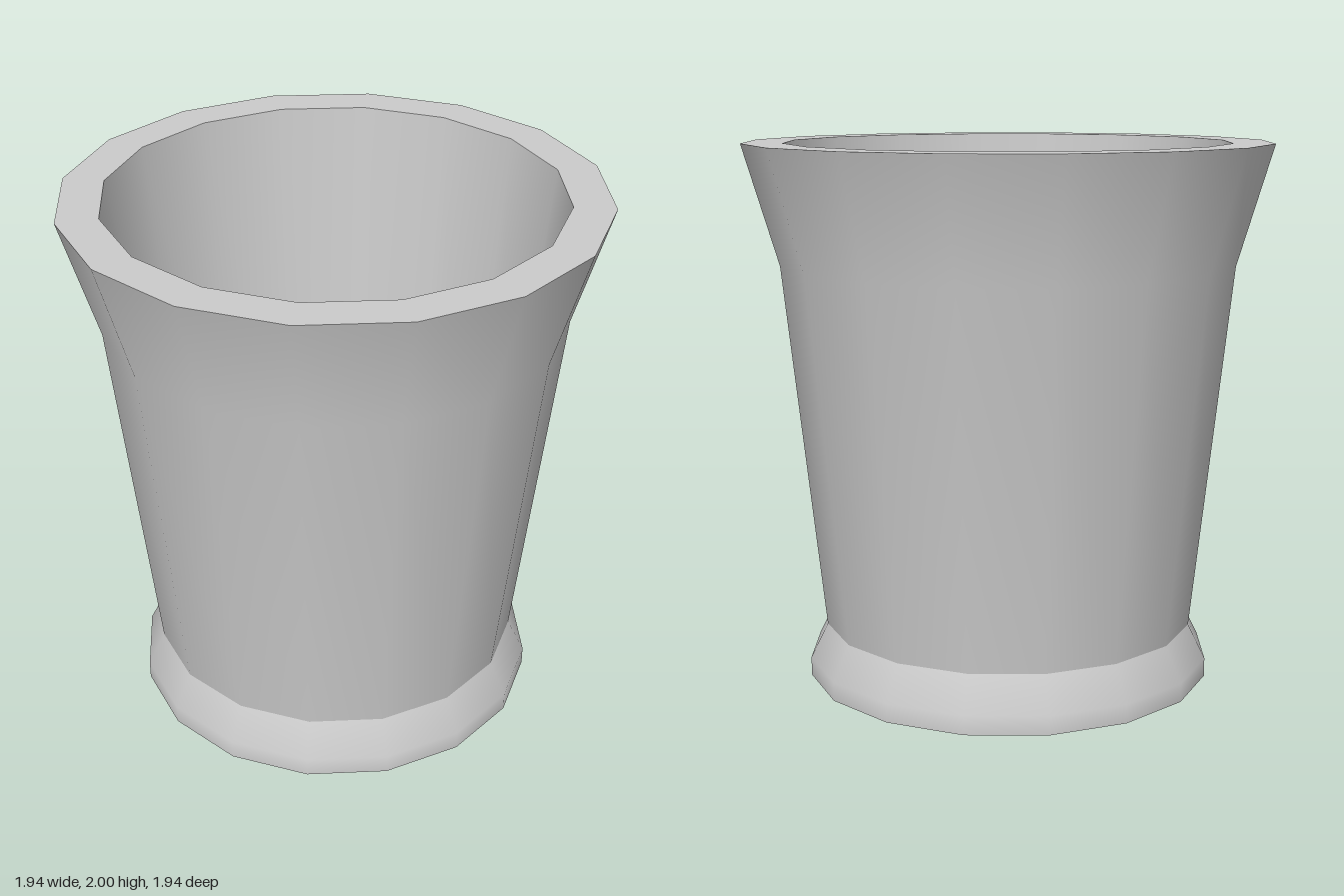
import * as THREE from 'three';

const SIDES = 16;

export function createModel() {
  const cup = new THREE.Group();
  cup.name = 'cup';
  const material = new THREE.MeshStandardMaterial({ color: 0xcccccc });

  // Each ring is its own lathe: smooth inside, sharp where it meets the next.
  // Profiles are [radius, height], running up the outside and down the inside.
  const addRing = (name, profile) => {
    const points = profile.map(([r, y]) => new THREE.Vector2(r, y));
    const mesh = new THREE.Mesh(new THREE.LatheGeometry(points, SIDES), material);
    mesh.name = name;
    cup.add(mesh);
  };

  addRing('underside', [[0, 0], [0.76, 0]]);
  addRing('foot', [[0.76, 0], [0.76, 0.07], [0.695, 0.2]]);
  addRing('outerWall', [[0.695, 0.2], [0.84, 1.56], [0.97, 2]]);
  addRing('rim', [[0.97, 2], [0.82, 2]]);
  addRing('innerWall', [[0.82, 2], [0.635, 0.2]]);
  addRing('floor', [[0.635, 0.2], [0, 0.2]]);

  return cup;
}
